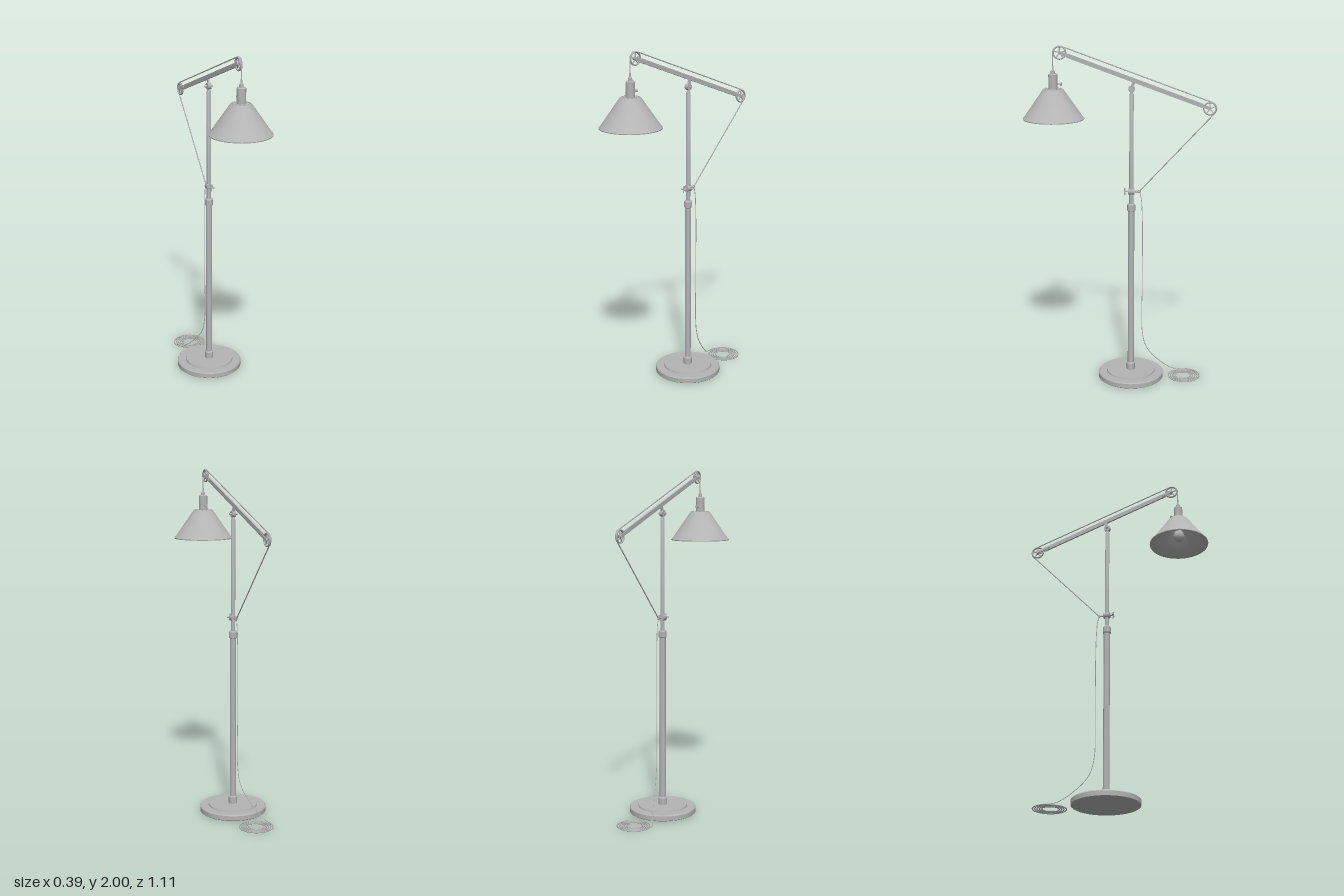
import * as THREE from 'three';
import { toCreasedNormals } from 'three/addons/utils/BufferGeometryUtils.js';

const V = (x, y, z) => new THREE.Vector3(x, y, z);

export function createModel() {
  const root = new THREE.Group();
  root.name = 'floorLamp';
  const metal = new THREE.MeshStandardMaterial({ color: 0xb4b4b4 });
  metal.name = 'grey metal';

  const add = (name, geo, parent = root) => {
    const m = new THREE.Mesh(geo, metal);
    m.name = name;
    parent.add(m);
    return m;
  };
  // turned part from [radius, height] pairs, listed upwards along the outside
  const turned = (name, pts, z, sides) => {
    const g = new THREE.LatheGeometry(pts.map(p => new THREE.Vector2(...p)), sides);
    return add(name, toCreasedNormals(g, 0.6).translate(0, 0, z));
  };
  // round rod between two points
  const rod = (name, a, b, r, parent = root, sides = 12) => {
    const m = add(name, new THREE.CylinderGeometry(r, r, a.distanceTo(b), sides), parent);
    m.position.copy(a).lerp(b, 0.5);
    m.quaternion.setFromUnitVectors(V(0, 1, 0), b.clone().sub(a).normalize());
    return m;
  };
  // flat bar between two points lying in a plane of constant x
  const bar = (name, a, b, width, height, parent = root) => {
    const m = add(name, new THREE.BoxGeometry(width, height, a.distanceTo(b)), parent);
    m.position.copy(a).lerp(b, 0.5);
    m.lookAt(b);
    return m;
  };

  const poleZ = -0.068, shadeZ = 0.377;

  // base and pole
  turned('base', [[0, 0], [0.19, 0], [0.195, 0.004], [0.195, 0.03], [0.19, 0.036], [0.145, 0.036],
    [0.142, 0.046], [0, 0.046]], poleZ, 40);
  turned('poleSocket', [[0.025, 0.045], [0.025, 0.085], [0.019, 0.092]], poleZ, 16);
  turned('lowerPole', [[0.0185, 0.045], [0.0185, 1.06]], poleZ, 20);
  turned('poleCollar', [[0.018, 1.042], [0.024, 1.046], [0.024, 1.08], [0.019, 1.087], [0.012, 1.087]], poleZ, 16);
  turned('upperPole', [[0.0125, 1.06], [0.0125, 1.725], [0.009, 1.732], [0.009, 1.745], [0, 1.745]], poleZ, 16);

  // cable clamp with a T-shaped screw in front and an eye behind
  const clamp = new THREE.Group();
  clamp.name = 'cableClamp';
  root.add(clamp);
  rod('clampBody', V(0, 1.16, poleZ - 0.019), V(0, 1.16, poleZ + 0.019), 0.019, clamp, 16);
  rod('clampScrew', V(0, 1.16, poleZ), V(0, 1.16, -0.03), 0.005, clamp);
  rod('clampHandle', V(-0.02, 1.16, -0.03), V(0.02, 1.16, -0.03), 0.004, clamp);
  rod('clampHandleCross', V(0, 1.14, -0.03), V(0, 1.18, -0.03), 0.004, clamp);
  rod('clampStem', V(0, 1.16, poleZ), V(0, 1.16, -0.108), 0.005, clamp);
  const eye = add('clampEye', new THREE.TorusGeometry(0.007, 0.003, 6, 14), clamp);
  eye.rotation.y = Math.PI / 2;
  eye.position.set(0, 1.16, -0.114);

  // swivel joint under the arm
  rod('swivelBall', V(-0.011, 1.757, poleZ), V(0.011, 1.757, poleZ), 0.019, root, 18);
  rod('swivelBolt', V(-0.024, 1.757, poleZ), V(0.024, 1.757, poleZ), 0.006);
  bar('swivelBracket', V(0, 1.757, poleZ), V(0, 1.808, poleZ - 0.014), 0.01, 0.018);

  // tilted arm with a pulley at each end
  const front = V(0, 1.96, 0.338), rear = V(0, 1.648, -0.513);
  const along = rear.clone().sub(front).normalize();
  bar('arm', front.clone().addScaledVector(along, 0.045), rear.clone().addScaledVector(along, -0.045), 0.011, 0.024);
  for (const [name, c, s] of [['frontPulley', front, 1], ['rearPulley', rear, -1]]) {
    const pulley = new THREE.Group();
    pulley.name = name;
    root.add(pulley);
    const inner = c.clone().addScaledVector(along, s * 0.075);
    for (const x of [-0.008, 0.008]) {
      bar('forkPlate', c.clone().add(V(x, 0, 0)), inner.clone().add(V(x, 0, 0)), 0.004, 0.016, pulley);
      const rim = add('pulleyRim', new THREE.TorusGeometry(0.035, 0.004, 6, 24), pulley);
      rim.rotation.y = Math.PI / 2;
      rim.position.copy(c).add(V(x * 0.4, 0, 0));
    }
    rod('pulleyAxle', c.clone().add(V(-0.012, 0, 0)), c.clone().add(V(0.012, 0, 0)), 0.009, pulley);
    rod('forkBolt', inner.clone().add(V(-0.012, 0, 0)), inner.clone().add(V(0.012, 0, 0)), 0.005, pulley);
    for (let i = 0; i < 5; i++) {
      const a = i * Math.PI * 0.4 + 0.3;
      bar('pulleySpoke', c, c.clone().add(V(0, Math.sin(a) * 0.034, Math.cos(a) * 0.034)), 0.005, 0.006, pulley);
    }
  }

  // suspension cable, running over both pulleys down to the clamp
  const path = [V(0, 1.87, shadeZ)];
  const wrap = (c, from, to) => {
    for (let i = 0; i <= 8; i++) {
      const a = THREE.MathUtils.degToRad(from + (to - from) * i / 8);
      path.push(V(0, c.y + Math.sin(a) * 0.038, c.z + Math.cos(a) * 0.038));
    }
  };
  wrap(front, 0, 110);
  wrap(rear, 110, 219);
  path.push(V(0, 1.16, -0.114));
  const cablePath = new THREE.CurvePath();
  for (let i = 1; i < path.length; i++) cablePath.add(new THREE.LineCurve3(path[i - 1], path[i]));
  add('suspensionCable', new THREE.TubeGeometry(cablePath, 220, 0.0035, 6));

  // power cord hanging down behind the pole and ending in a coil on the floor
  const hang = [V(0, 1.16, -0.114), V(0, 1.13, -0.124), V(0, 1, -0.133), V(0, 0.6, -0.135), V(0, 0.28, -0.138),
    V(-0.009, 0.175, -0.168), V(-0.045, 0.075, -0.25), V(-0.085, 0.015, -0.325), V(-0.098, 0.005, -0.36)];
  add('powerCord', new THREE.TubeGeometry(new THREE.CatmullRomCurve3(hang), 90, 0.0022, 6));
  const coil = [];
  const turns = 4.6, steps = 64;
  for (let i = 0; i <= steps; i++) {
    const t = i / steps, a = t * turns * Math.PI * 2 - 0.28, r = 0.101 - 0.06 * t;
    coil.push(V(-r * Math.cos(a), 0.005, -0.388 - r * Math.sin(a)));
  }
  add('cordCoil', new THREE.TubeGeometry(new THREE.CatmullRomCurve3(coil), 180, 0.0035, 6));

  // shade: outer cone, rolled rim and inner reflector as one closed profile
  turned('shade', [[0, 1.73], [0.05, 1.73], [0.12, 1.612], [0.166, 1.586], [0.175, 1.584], [0.176, 1.589],
    [0.17, 1.593], [0.062, 1.748], [0.056, 1.755], [0, 1.757]], shadeZ, 32);
  turned('lampSocket', [[0.026, 1.75], [0.026, 1.838], [0.022, 1.843], [0.012, 1.843], [0.011, 1.862],
    [0.005, 1.866], [0.004, 1.885], [0, 1.885]], shadeZ, 18);
  for (let i = 0; i < 12; i++) {
    const a = i * Math.PI / 6;
    const vent = add('ventStud', new THREE.CylinderGeometry(0.004, 0.004, 0.004, 8));
    vent.position.set(Math.cos(a) * 0.047, 1.757, shadeZ + Math.sin(a) * 0.047);
  }

  // rotary switch on the back of the socket
  rod('switchStem', V(0, 1.785, shadeZ - 0.02), V(0, 1.785, 0.332), 0.004);
  rod('switchKnob', V(0, 1.785, 0.336), V(0, 1.785, 0.327), 0.008);

  // bulb
  turned('bulb', [[0, 1.603], [0.016, 1.607], [0.029, 1.62], [0.034, 1.638], [0.03, 1.655], [0.018, 1.68],
    [0.015, 1.735]], shadeZ, 20);

  return root;
}
